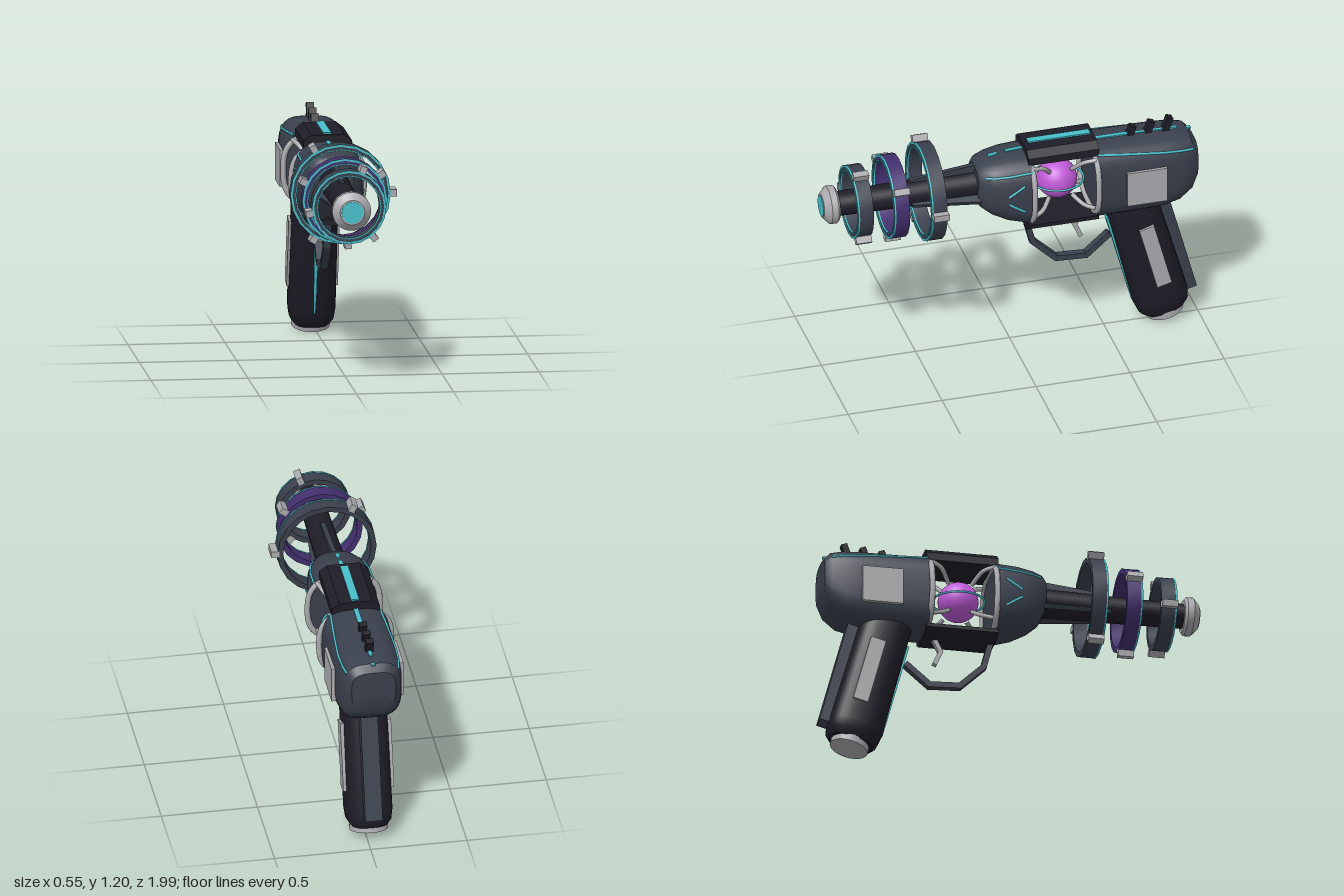
import * as THREE from 'three';
import { toCreasedNormals } from 'three/addons/utils/BufferGeometryUtils.js';

const mat = (name, color) => {
  const m = new THREE.MeshStandardMaterial({ color });
  m.name = name;
  return m;
};

// Closed loft of rounded (superellipse) sections [z, halfWidth, yLow, yHigh], z descending
function loft(sections, n, seg = 32) {
  const pos = [], idx = [];
  for (const [z, w, lo, hi] of sections) {
    for (let j = 0; j < seg; j++) {
      const a = (j / seg) * Math.PI * 2, c = Math.cos(a), s = Math.sin(a);
      pos.push(w * Math.sign(c) * Math.abs(c) ** (2 / n),
        (lo + hi) / 2 + ((hi - lo) / 2) * Math.sign(s) * Math.abs(s) ** (2 / n), z);
    }
  }
  const last = sections.length - 1;
  for (let i = 0; i < last; i++) {
    for (let j = 0; j < seg; j++) {
      const k = (j + 1) % seg, a = i * seg + j, b = i * seg + k;
      idx.push(a, a + seg, b, b, a + seg, b + seg);
    }
  }
  for (const i of [0, last]) {
    const [z, , lo, hi] = sections[i], c = pos.length / 3;
    pos.push(0, (lo + hi) / 2, z);
    for (let j = 0; j < seg; j++) {
      const a = i * seg + j, b = i * seg + ((j + 1) % seg);
      if (i === 0) idx.push(c, a, b); else idx.push(c, b, a);
    }
  }
  const g = new THREE.BufferGeometry();
  g.setAttribute('position', new THREE.Float32BufferAttribute(pos, 3));
  g.setIndex(idx);
  return toCreasedNormals(g, 0.6);
}

// Half width of a loft's surface at a given z and y
function surfaceX(sections, n, z, y) {
  let i = 0;
  while (i < sections.length - 2 && sections[i + 1][0] > z) i++;
  const p = sections[i], q = sections[i + 1];
  const t = THREE.MathUtils.clamp((z - p[0]) / (q[0] - p[0]), 0, 1);
  const [w, lo, hi] = [1, 2, 3].map((k) => p[k] + (q[k] - p[k]) * t);
  const v = Math.min(1, Math.abs((y - (lo + hi) / 2) / ((hi - lo) / 2)));
  return w * (1 - v ** n) ** (1 / n);
}

export function createModel() {
  const slate = mat('slate', 0x3a404d), black = mat('black', 0x1f1d27);
  const silver = mat('silver', 0xacacb0), teal = mat('teal', 0x48bfcb);
  const violet = mat('violet', 0x432f6e), magenta = mat('magenta', 0xc05ad8);
  const model = new THREE.Group();
  model.name = 'rayPistol';
  model.position.x = -0.02;

  const add = (name, geo, m, parent = model) => {
    const mesh = new THREE.Mesh(geo, m);
    mesh.name = name;
    parent.add(mesh);
    return mesh;
  };
  const box = (name, m, size, at, parent = model) => {
    const b = add(name, new THREE.BoxGeometry(...size), m, parent);
    b.position.set(...at);
    return b;
  };
  const lathe = (pts, seg) => toCreasedNormals(
    new THREE.LatheGeometry(pts.map((p) => new THREE.Vector2(...p)), seg).rotateX(Math.PI / 2), 0.5);
  const curve = (pts, closed = false) =>
    new THREE.CatmullRomCurve3(pts.map((p) => new THREE.Vector3(...p)), closed, 'centripetal');
  const AXIS = 0.946;

  // Body halves
  const front = [[0.185, 0.1, 0.875, 1.055], [0.165, 0.125, 0.83, 1.08], [0.11, 0.155, 0.785, 1.097],
    [0.03, 0.172, 0.742, 1.112], [-0.09, 0.18, 0.705, 1.12]];
  const rear = [[-0.435, 0.175, 0.7, 1.11], [-0.78, 0.172, 0.702, 1.108], [-0.88, 0.162, 0.725, 1.104],
    [-0.945, 0.145, 0.775, 1.092], [-0.978, 0.115, 0.84, 1.055]];
  add('frontBody', loft(front, 2.7), slate);
  add('rearBody', loft(rear, 3.4), slate);

  // Glowing lines that follow the body sides
  const lines = [
    [front, 2.7, [0.15, 1.037], [-0.085, 1.053]],
    [front, 2.7, [0.045, 0.935], [-0.04, 0.99]],
    [front, 2.7, [0.045, 0.895], [-0.04, 0.84]],
    [rear, 3.4, [-0.44, 1.085], [-0.945, 1.043]],
  ];
  for (const [sec, n, a, b] of lines) {
    for (const side of [1, -1]) {
      const pts = [];
      for (let i = 0; i <= 10; i++) {
        const z = a[0] + (b[0] - a[0]) * i / 10, y = a[1] + (b[1] - a[1]) * i / 10;
        pts.push([side * surfaceX(sec, n, z, y), y, z]);
      }
      add('sideLine', new THREE.TubeGeometry(curve(pts), 20, 0.007, 6), teal);
    }
  }
  box('rearTopLine', teal, [0.025, 0.008, 0.21], [0, 1.112, -0.54]);
  box('rearTopLine', teal, [0.02, 0.008, 0.27], [0, 1.108, -0.76]);
  box('rearTopDot', teal, [0.02, 0.008, 0.025], [0, 1.094, -0.955]);
  box('frontTopLine', teal, [0.022, 0.008, 0.1], [0, 1.117, -0.03]).rotation.x = 0.06;
  box('frontTopDash', teal, [0.022, 0.008, 0.05], [0, 1.104, 0.085]).rotation.x = 0.18;

  // Side plates and sight fins
  for (const side of [1, -1]) box('sidePlate', silver, [0.03, 0.194, 0.213], [side * 0.172, 0.887, -0.688]);
  for (let i = 0; i < 3; i++) {
    box('sightFin', black, [0.04, 0.085, 0.032], [0, 1.115 + i * 0.01, -0.647 - i * 0.098]).rotation.x = -0.35;
  }

  // Chamber rails
  const rail = (pts) => {
    const g = new THREE.ExtrudeGeometry(new THREE.Shape(pts.map((p) => new THREE.Vector2(...p))),
      { depth: 0.375, bevelEnabled: false });
    return g.translate(0, 0, -0.447);
  };
  add('topRail', rail([[-0.125, 1.08], [0.125, 1.08], [0.125, 1.12], [0.085, 1.152], [-0.085, 1.152], [-0.125, 1.12]]), black);
  add('bottomRail', rail([[-0.09, 0.68], [0.09, 0.68], [0.125, 0.702], [0.125, 0.722], [-0.125, 0.722], [-0.125, 0.702]]), black);
  box('railLight', teal, [0.042, 0.009, 0.33], [0, 1.155, -0.265]);

  // Energy core with its halo
  add('core', new THREE.SphereGeometry(0.105, 32, 20), magenta).position.set(0, 0.91, -0.257);
  const halo = add('coreHalo', new THREE.TorusGeometry(0.137, 0.006, 8, 40), teal);
  halo.position.set(0, 0.91, -0.257);
  halo.rotation.x = Math.PI / 2;

  // Cage frames and curved claws holding the core
  for (const [z, dir] of [[-0.09, -1], [-0.43, 1]]) {
    const loop = [];
    for (let i = 0; i < 24; i++) {
      const a = (i / 24) * Math.PI * 2, c = Math.cos(a), s = Math.sin(a);
      loop.push([0.188 * Math.sign(c) * Math.abs(c) ** 0.72, 0.908 + 0.18 * Math.sign(s) * Math.abs(s) ** 0.72, z]);
    }
    add('cageFrame', new THREE.TubeGeometry(curve(loop, true), 72, 0.015, 8, true), silver);
    for (const sx of [1, -1]) {
      for (const [y0, y1, y2] of [[1.065, 1.045, 0.985], [0.775, 0.795, 0.835]]) {
        const claw = curve([[sx * 0.14, y0, z], [sx * 0.115, y1, z + dir * 0.06], [sx * 0.06, y2, z + dir * 0.11]]);
        add('coreClaw', new THREE.TubeGeometry(claw, 12, 0.012, 8), silver);
      }
    }
  }

  // Barrel, support fins and muzzle
  const nose = new THREE.Group();
  nose.name = 'barrelAssembly';
  nose.position.y = AXIS;
  model.add(nose);
  add('barrel', lathe([[0, 0.1], [0.078, 0.1], [0.07, 0.5], [0.064, 0.93], [0, 0.93]], 24), black, nose);
  const finShape = new THREE.Shape([[0.08, 0.05], [0.53, 0.05], [0.53, 0.08], [0.18, 0.117], [0.08, 0.15]]
    .map((p) => new THREE.Vector2(...p)));
  for (let i = 0; i < 3; i++) {
    const g = new THREE.ExtrudeGeometry(finShape, { depth: 0.026, bevelEnabled: false });
    g.translate(0, 0, -0.013).rotateY(-Math.PI / 2).rotateZ(i * Math.PI * 2 / 3);
    add('barrelFin', g, slate, nose);
  }
  add('muzzle', lathe([[0, 0.915], [0.085, 0.915], [0.1, 0.928], [0.1, 0.962], [0.064, 0.995], [0, 0.995]], 28), silver, nose);
  add('muzzleLens', lathe([[0, 0.99], [0.056, 0.99], [0.056, 0.999], [0, 0.999]], 28), teal, nose);

  // Floating coil rings with glowing rims and three clamps each
  [[0.257, 0.435, slate], [0.218, 0.623, violet], [0.19, 0.808, slate]].forEach(([r, z, m], i) => {
    const ring = new THREE.Group();
    ring.name = 'coilRing';
    ring.position.z = z;
    nose.add(ring);
    const band = (ri, ro, z0, z1) => lathe([[ri, z0], [ro, z0], [ro, z1], [ri, z1], [ri, z0]], 20);
    add('ringBand', band(r - 0.028, r, -0.04, 0.038), m, ring);
    add('ringRim', band(r - 0.01, r + 0.002, 0.034, 0.043), teal, ring);
    add('ringInnerRim', band(r - 0.03, r - 0.024, 0.034, 0.042), teal, ring);
    for (let k = 0; k < 3; k++) {
      const a = i * 0.6 + k * Math.PI * 2 / 3, rr = r + 0.013;
      box('ringClamp', silver, [0.042, 0.035, 0.082], [rr * Math.cos(a), rr * Math.sin(a), 0], ring).rotation.z = a;
    }
  });

  // Bent bar from straight segments through [y, z] points
  const bar = (name, m, pts, width, thick) => {
    for (let i = 0; i < pts.length - 1; i++) {
      const [y0, z0] = pts[i], [y1, z1] = pts[i + 1];
      const len = Math.hypot(y1 - y0, z1 - z0);
      box(name, m, [width, thick, len + thick * 0.5], [0, (y0 + y1) / 2, (z0 + z1) / 2])
        .rotation.x = -Math.atan2(y1 - y0, z1 - z0);
    }
  };
  bar('triggerGuard', slate, [[0.69, -0.09], [0.555, -0.125], [0.435, -0.25], [0.427, -0.41], [0.53, -0.53]], 0.04, 0.03);
  bar('trigger', silver, [[0.69, -0.385], [0.618, -0.35], [0.55, -0.38]], 0.03, 0.024);

  // Tilted grip
  const grip = new THREE.Group();
  grip.name = 'grip';
  grip.position.set(0, 0.7, -0.65);
  grip.rotation.x = 0.262;
  model.add(grip);
  const gripForm = loft([[0.08, 0.118, -0.135, 0.135], [-0.58, 0.122, -0.145, 0.145],
    [-0.635, 0.115, -0.135, 0.135], [-0.665, 0.095, -0.11, 0.11]], 2.8).rotateX(-Math.PI / 2);
  add('gripBody', gripForm, black, grip);
  box('gripSpine', slate, [0.09, 0.57, 0.07], [0, -0.32, -0.155], grip);
  for (const side of [1, -1]) box('gripPlate', silver, [0.03, 0.365, 0.08], [side * 0.117, -0.288, -0.023], grip);
  const strip = new THREE.BoxGeometry(0.034, 0.53, 0.012);
  const sp = strip.attributes.position;
  for (let i = 0; i < sp.count; i++) if (sp.getY(i) < 0) sp.setX(i, sp.getX(i) * 0.15);
  add('gripLight', strip, teal, grip).position.set(0, -0.3, 0.143);
  add('gripCap', new THREE.CylinderGeometry(0.1, 0.1, 0.05, 24), silver, grip).position.y = -0.67;

  const root = new THREE.Group();
  root.name = 'model';
  root.add(model);
  return root;
}
